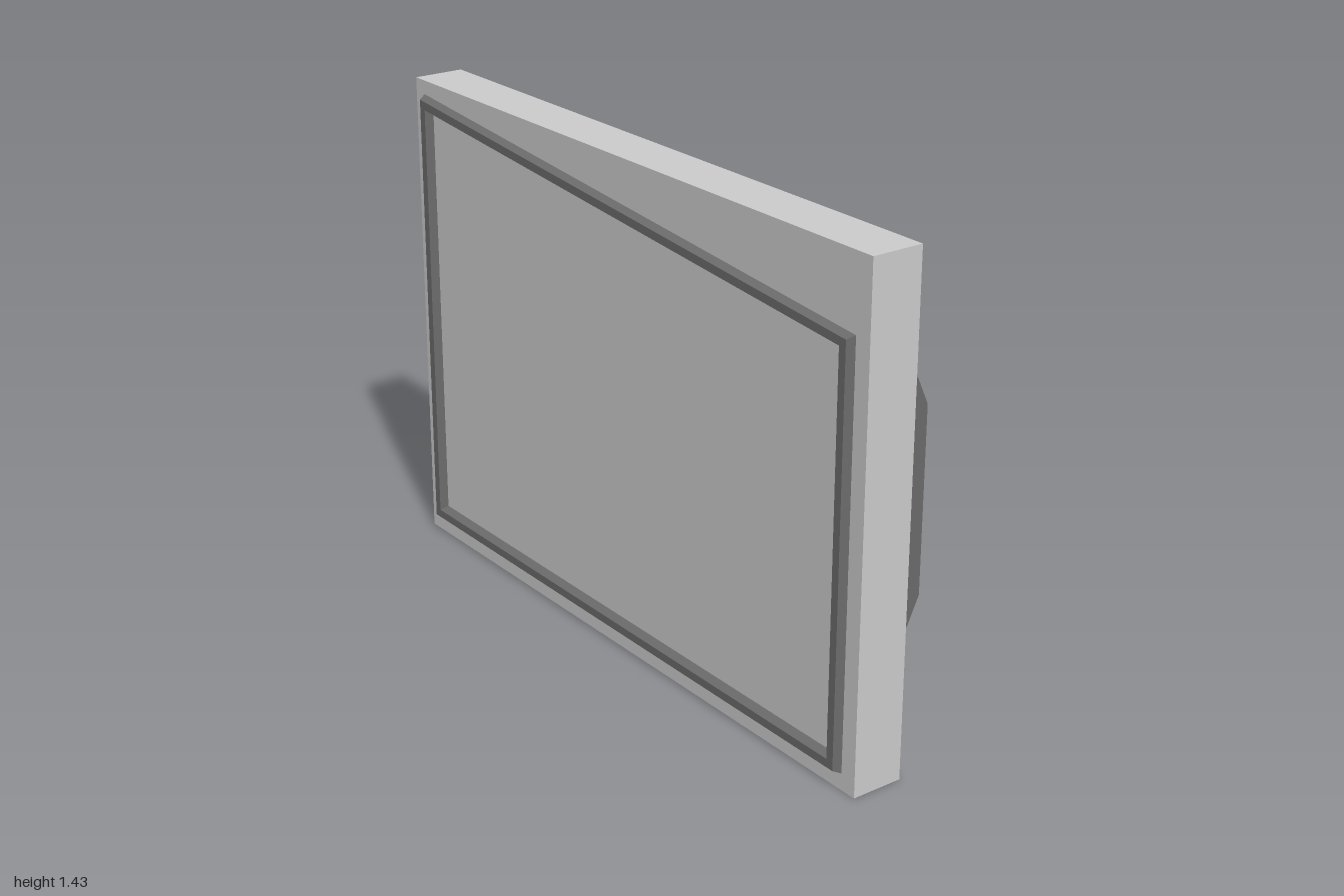
import * as THREE from 'three';
import { toCreasedNormals } from 'three/addons/utils/BufferGeometryUtils.js';

// Moves every side of a counter-clockwise polygon inwards by d
function inset(points, d) {
  const n = points.length;
  const direction = (i) => points[(i + 1) % n].clone().sub(points[i % n]).normalize();
  return points.map((p, i) => {
    const a = direction(i + n - 1), b = direction(i);
    const na = new THREE.Vector2(-a.y, a.x), nb = new THREE.Vector2(-b.y, b.x);
    return p.clone().addScaledVector(na.clone().add(nb), d / (1 + na.dot(nb)));
  });
}

// Sweeps a [inset, z] profile around a polygon with mitred corners
function frameGeometry(outline, profile) {
  const rings = profile.map(([d, z]) => inset(outline, d).map((p) => [p.x, p.y, z]));
  const n = outline.length, positions = [];
  for (let k = 0; k < rings.length - 1; k++) {
    for (let i = 0; i < n; i++) {
      const j = (i + 1) % n;
      const a = rings[k][i], b = rings[k][j], c = rings[k + 1][j], d = rings[k + 1][i];
      positions.push(...a, ...b, ...c, ...a, ...c, ...d);
    }
  }
  const geometry = new THREE.BufferGeometry();
  geometry.setAttribute('position', new THREE.Float32BufferAttribute(positions, 3));
  geometry.computeVertexNormals();
  return geometry;
}

export function createModel() {
  const model = new THREE.Group();
  model.name = 'doorPanel';
  const grey = new THREE.MeshStandardMaterial({ color: 0xcccccc });
  const dark = new THREE.MeshStandardMaterial({ color: 0x6b6b6b });
  const add = (name, geometry, material) => {
    const mesh = new THREE.Mesh(geometry, material);
    mesh.name = name;
    model.add(mesh);
    return mesh;
  };

  // Flat slab
  const height = 1.432, thickness = 0.152;
  add('panel', new THREE.BoxGeometry(2, height, thickness), grey)
    .position.set(0, height / 2, thickness / 2);

  // Bevelled seal on the front, with a sloping top
  const outline = [[-0.957, 0.048], [0.95, 0.048], [0.95, 1.225], [-0.957, 1.391]]
    .map(([x, y]) => new THREE.Vector2(x, y));
  const sealProfile = [[0, thickness], [0.01, 0.174], [0.034, 0.174], [0.046, thickness]];
  add('seal', frameGeometry(outline, sealProfile), dark);

  // Pull handle on the back: upper half of the side profile, mirrored downwards
  const middle = 0.68;
  const outer = [[0, 0.435], [0.085, 0.4], [0.135, 0.34], [0.17, 0.264]];
  const inner = [[0.085, 0.264], [0, 0.3]];
  const mirror = (points) => points.map(([u, v]) => [u, -v]).reverse();
  const loop = [...outer, ...mirror(outer), ...mirror(inner), ...inner];
  const shape = new THREE.Shape(loop.map(([u, v]) => new THREE.Vector2(u, middle + v)));
  const handle = new THREE.ExtrudeGeometry(shape, { depth: 0.098, bevelEnabled: false });
  handle.rotateY(Math.PI / 2).translate(0.764, 0, 0);
  add('handle', toCreasedNormals(handle, 0.6), dark);

  return model;
}
